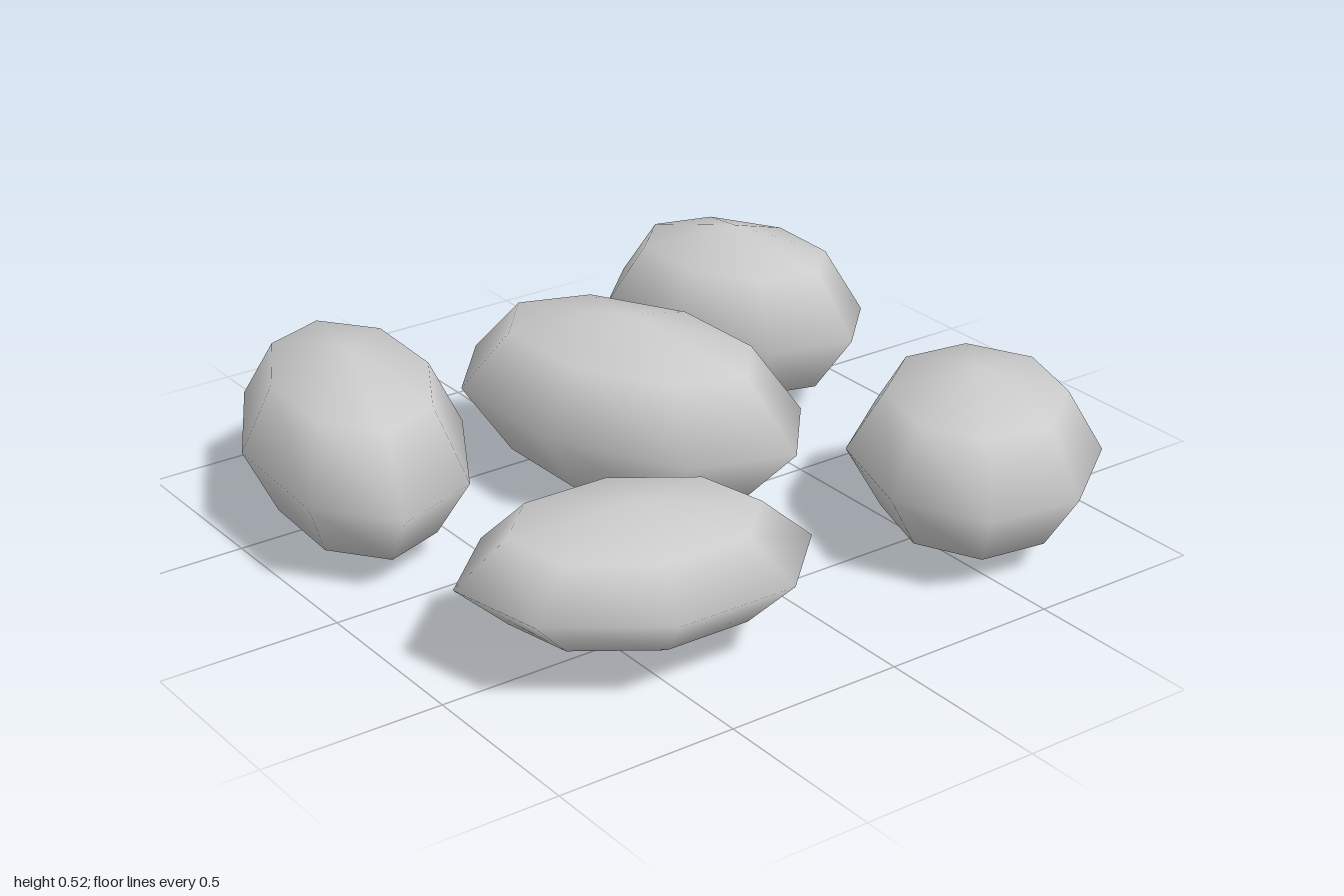
import * as THREE from 'three';

// Five flattened low-poly pebbles lying on one level.
const MID_HEIGHT = 0.26;
const PEBBLES = [
  // name, centre x, centre z, half length, half height, half width, turn about y
  ['middlePebble', -0.21, -0.063, 0.57, 0.25, 0.344, 0.26],
  ['backRightPebble', -0.566, -0.695, 0.429, 0.25, 0.305, 0.247],
  ['backLeftPebble', 0.583, -0.615, 0.433, 0.24, 0.339, -0.63],
  ['frontRightPebble', -0.445, 0.675, 0.532, 0.26, 0.302, -0.286],
  ['frontLeftPebble', 0.576, 0.48, 0.462, 0.165, 0.342, 1.263],
];

export function createModel() {
  const group = new THREE.Group();
  group.name = 'pebbles';
  const material = new THREE.MeshStandardMaterial({ color: 0xcccccc });
  // Coarse ball: eight sides, with one ring between the equator and each pole
  const ball = new THREE.SphereGeometry(1, 8, 4);

  for (const [name, x, z, length, height, width, turn] of PEBBLES) {
    const pebble = new THREE.Mesh(ball, material);
    pebble.name = name;
    pebble.scale.set(length, height, width);
    pebble.rotation.y = turn;
    pebble.position.set(x, MID_HEIGHT, z);
    group.add(pebble);
  }
  return group;
}
